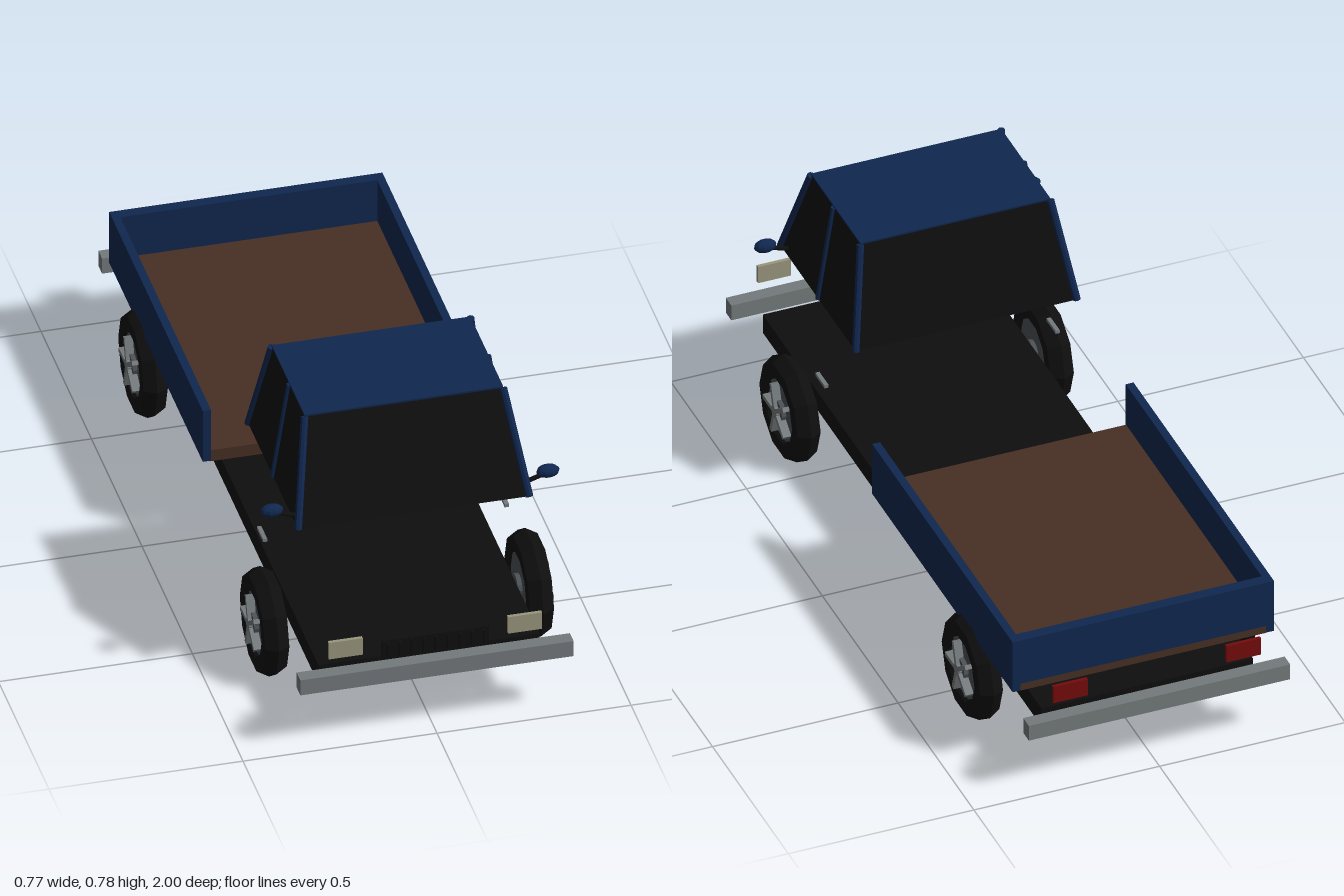
import * as THREE from 'three';

const mat = (name, color, side = THREE.FrontSide) => {
  const m = new THREE.MeshStandardMaterial({ color, side, flatShading: true });
  m.name = name;
  return m;
};

export function createModel() {
  const model = new THREE.Group();
  model.name = 'pickupTruck';
  const blue = mat('bluePaint', 0x10274f);
  const black = mat('black', 0x0e0e0e, THREE.DoubleSide);
  const brown = mat('woodBrown', 0x472f23);
  const grey = mat('bumperGrey', 0x747a7c);
  const rimGrey = mat('rimGrey', 0x4c5054);
  const lamp = mat('lampCream', 0x9a967f);
  const red = mat('tailRed', 0x740b0b);

  const add = (parent, name, geometry, material) => {
    const mesh = new THREE.Mesh(geometry, material);
    mesh.name = name;
    parent.add(mesh);
    return mesh;
  };
  // Box given by its limits on each axis
  const box = (name, material, [x0, x1], [y0, y1], [z0, z1], parent = model) => {
    const mesh = add(parent, name, new THREE.BoxGeometry(x1 - x0, y1 - y0, z1 - z0), material);
    mesh.position.set((x0 + x1) / 2, (y0 + y1) / 2, (z0 + z1) / 2);
    return mesh;
  };
  // Straight round bar between two points
  const rod = (name, material, a, b, r, parent = model) => {
    const p = new THREE.Vector3(...a), q = new THREE.Vector3(...b);
    const d = q.clone().sub(p);
    const mesh = add(parent, name, new THREE.CylinderGeometry(r, r, d.length(), 8), material);
    mesh.position.copy(p).add(q).multiplyScalar(0.5);
    mesh.quaternion.setFromUnitVectors(new THREE.Vector3(0, 1, 0), d.normalize());
    return mesh;
  };

  // Chassis and bumpers
  box('chassis', black, [-0.285, 0.285], [0.145, 0.2], [-0.92, 0.92]);
  box('frontBumper', grey, [-0.352, 0.352], [0.172, 0.217], [0.963, 1]);
  box('rearBumper', grey, [-0.352, 0.352], [0.172, 0.217], [-1, -0.963]);

  // Load bed
  box('bedFloor', brown, [-0.332, 0.332], [0.247, 0.28], [-0.89, 0.032]);
  box('tailgate', blue, [-0.332, 0.332], [0.27, 0.402], [-0.893, -0.863]);

  // Grille with upright fins
  box('grille', black, [-0.137, 0.137], [0.238, 0.29], [0.975, 0.988]);
  for (let i = -4; i <= 4; i++) {
    const x = i * 0.031;
    box('grilleFin', black, [x - 0.003, x + 0.003], [0.243, 0.286], [0.988, 0.998]);
  }

  // Wheel facing +x
  const makeWheel = () => {
    const wheel = new THREE.Group();
    wheel.name = 'wheel';
    const tyre = add(wheel, 'tyre', new THREE.TorusGeometry(0.108, 0.036, 6, 10), black);
    tyre.rotation.y = Math.PI / 2;
    const disc = (name, material, r, x0, x1, sides) => {
      const mesh = add(wheel, name, new THREE.CylinderGeometry(r, r, x1 - x0, sides), material);
      mesh.rotation.z = -Math.PI / 2;
      mesh.position.x = (x0 + x1) / 2;
    };
    disc('rim', rimGrey, 0.092, -0.025, 0.022, 20);
    disc('hub', rimGrey, 0.03, -0.037, 0.034, 12);
    disc('hubCap', grey, 0.016, 0.034, 0.044, 10);
    for (let i = 0; i < 5; i++) {
      const arm = new THREE.Group();
      arm.name = 'spokeArm';
      arm.rotation.x = (i * Math.PI * 2) / 5;
      box('spoke', grey, [0.02, 0.044], [-0.006, 0.006], [0.012, 0.074], arm);
      wheel.add(arm);
    }
    return wheel;
  };

  // Cab corners
  const low = { x: 0.298, y: 0.512, front: 0.77, rear: 0.275 };
  const top = { x: 0.256, y: 0.78, front: 0.672, rear: 0.347 };
  box('roof', blue, [-top.x, top.x], [0.776, 0.785], [top.rear, top.front]);

  const pane = (name, a, b, c, d) => {
    const g = new THREE.BufferGeometry();
    g.setAttribute('position', new THREE.Float32BufferAttribute([...a, ...b, ...c, ...d], 3));
    g.setIndex([0, 1, 2, 0, 2, 3]);
    g.computeVertexNormals();
    add(model, name, g, black);
  };
  const corner = (level, s, end) => [s * level.x, level.y, level[end]];
  pane('windscreen', corner(low, -1, 'front'), corner(low, 1, 'front'),
    corner(top, 1, 'front'), corner(top, -1, 'front'));
  pane('rearWindow', corner(low, 1, 'rear'), corner(low, -1, 'rear'),
    corner(top, -1, 'rear'), corner(top, 1, 'rear'));

  // Parts repeated on both sides
  for (const s of [-1, 1]) {
    const span = (a, b) => (s > 0 ? [a, b] : [-b, -a]);

    box('bedSide', blue, span(0.331, 0.352), [0.25, 0.402], [-0.893, 0.034]);
    box('headlight', lamp, span(0.187, 0.275), [0.257, 0.306], [0.975, 0.985]);
    box('tailLight', red, span(0.187, 0.28), [0.257, 0.306], [-0.985, -0.975]);
    box('doorHandle', grey, span(0.306, 0.317), [0.3, 0.309], [0.435, 0.495]);

    for (const z of [0.603, -0.6]) {
      const wheel = makeWheel();
      wheel.position.set(s * 0.341, 0.137, z);
      if (s < 0) wheel.rotation.y = Math.PI;
      model.add(wheel);
    }

    const side = [corner(low, s, 'front'), corner(low, s, 'rear'),
      corner(top, s, 'rear'), corner(top, s, 'front')];
    if (s < 0) side.reverse();
    pane('sideWindow', ...side);

    rod('frontPillar', blue, corner(low, s, 'front'), corner(top, s, 'front'), 0.01);
    rod('middlePillar', blue, [s * low.x, low.y, 0.522], [s * top.x, top.y, 0.522], 0.008);
    rod('rearPillar', blue, corner(low, s, 'rear'), corner(top, s, 'rear'), 0.01);

    // Door mirror
    rod('mirrorArm', black, [s * 0.29, 0.527, 0.73], [s * 0.345, 0.545, 0.73], 0.006);
    const mirror = add(model, 'mirror', new THREE.SphereGeometry(1, 10, 8), blue);
    mirror.scale.set(0.03, 0.018, 0.018);
    mirror.position.set(s * 0.356, 0.553, 0.73);
  }

  return model;
}
